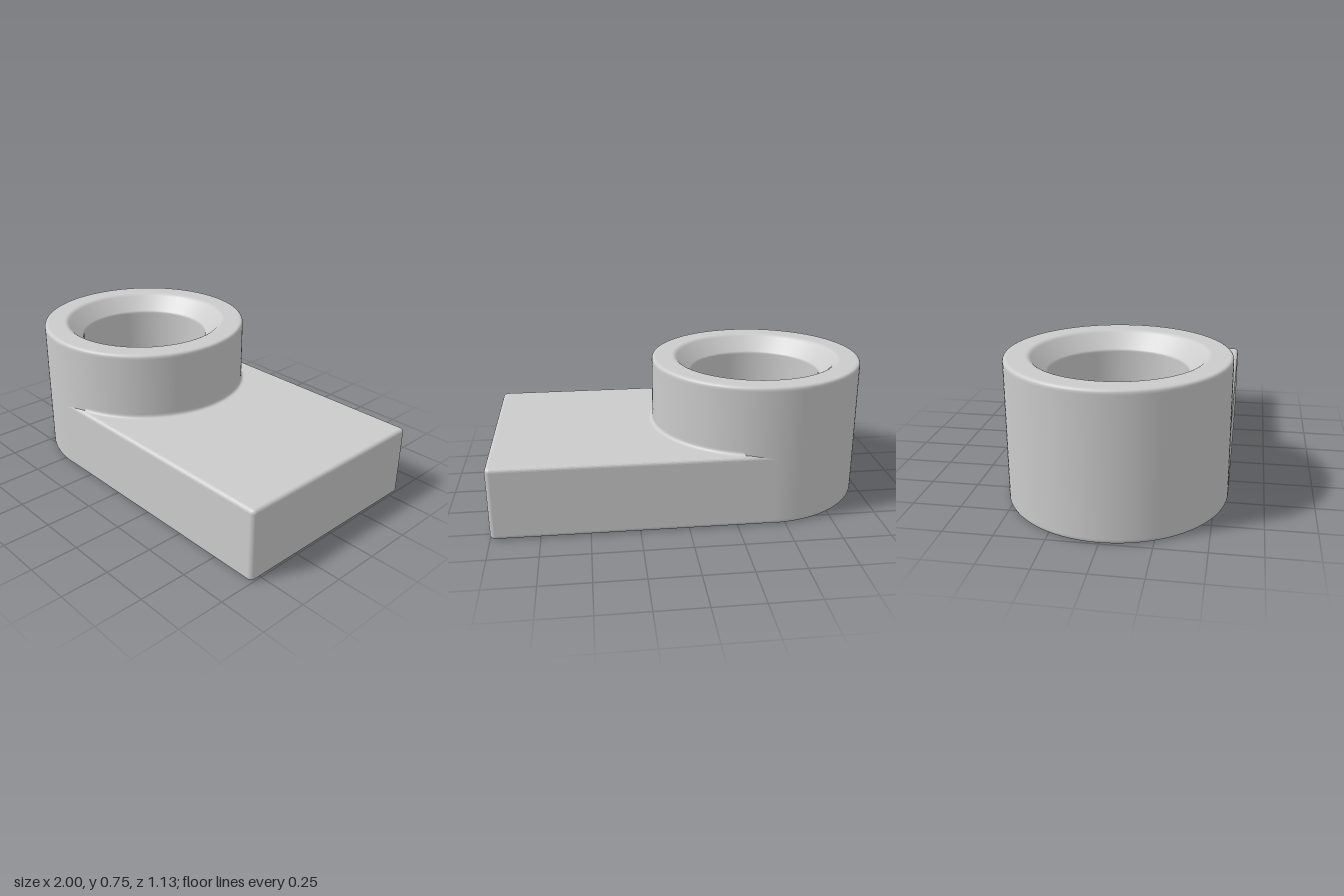
import * as THREE from 'three';

const R = 0.567, CX = -0.433;        // collar radius and centre
const H = 0.745, PLATE_H = 0.385;    // collar and plate heights
const BORE = 0.353, SINK = 0.09;     // bore radius and countersink size
const EDGE = 0.02;                   // edge rounding

// Closed lathe profile with softened corners; extra points keep the flats flat.
function roundedProfile(corners) {
  const pts = [];
  corners.forEach(([x, y, r], i) => {
    const n = corners.length;
    const c = new THREE.Vector2(x, y);
    const toPrev = new THREE.Vector2(...corners[(i + n - 1) % n]).sub(c).normalize();
    const toNext = new THREE.Vector2(...corners[(i + 1) % n]).sub(c).normalize();
    const at = (dir, d) => c.clone().addScaledVector(dir, d);
    const curve = new THREE.QuadraticBezierCurve(at(toPrev, r), c, at(toNext, r));
    pts.push(at(toPrev, r * 1.2), ...curve.getPoints(5), at(toNext, r * 1.2));
  });
  pts.push(pts[0].clone());
  return pts;
}

export function createModel() {
  const group = new THREE.Group();
  const material = new THREE.MeshStandardMaterial({ color: 0xcccccc });
  const add = (name, geometry) => {
    const mesh = new THREE.Mesh(geometry, material);
    mesh.name = name;
    group.add(mesh);
    return mesh;
  };

  // Collar: tall ring with a bore countersunk at both ends
  const profile = roundedProfile([
    [R, 0, EDGE], [R, H, EDGE],
    [BORE + SINK, H, 0.015], [BORE, H - SINK, 0.008],
    [BORE, SINK, 0.008], [BORE + SINK, 0, 0.015],
  ]);
  add('collar', new THREE.LatheGeometry(profile, 128)).position.x = CX;

  // Plate: tangent to the collar, cut back by an arc inside the collar wall
  const c = 0.025, inner = 0.5;
  const shape = new THREE.Shape();
  shape.moveTo(CX, -R);
  shape.lineTo(1 - c, -R);
  shape.absarc(1 - c, -R + c, c, -Math.PI / 2, 0, false);
  shape.absarc(1 - c, R - c, c, 0, Math.PI / 2, false);
  shape.lineTo(CX, R);
  shape.absarc(CX, 0, inner, Math.PI / 2, -Math.PI / 2, true);
  const plate = new THREE.ExtrudeGeometry(shape, {
    depth: PLATE_H - 2 * EDGE, curveSegments: 32, bevelSegments: 5,
    bevelThickness: EDGE, bevelSize: EDGE, bevelOffset: -EDGE,
  });
  plate.rotateX(-Math.PI / 2).translate(0, EDGE, 0);
  add('plate', plate);

  // Fillet where the collar meets the plate, kept within the plate's width
  const f = 0.02;
  const foot = new THREE.QuadraticBezierCurve(
    new THREE.Vector2(R + f, PLATE_H), new THREE.Vector2(R, PLATE_H), new THREE.Vector2(R, PLATE_H + f));
  const fillet = new THREE.LatheGeometry(foot.getPoints(5), 64, 0, Math.PI);
  const p = fillet.attributes.position;
  const limit = R - EDGE;
  for (let i = 0; i < p.count; i++) p.setZ(i, THREE.MathUtils.clamp(p.getZ(i), -limit, limit));
  add('fillet', fillet).position.x = CX;

  return group;
}
